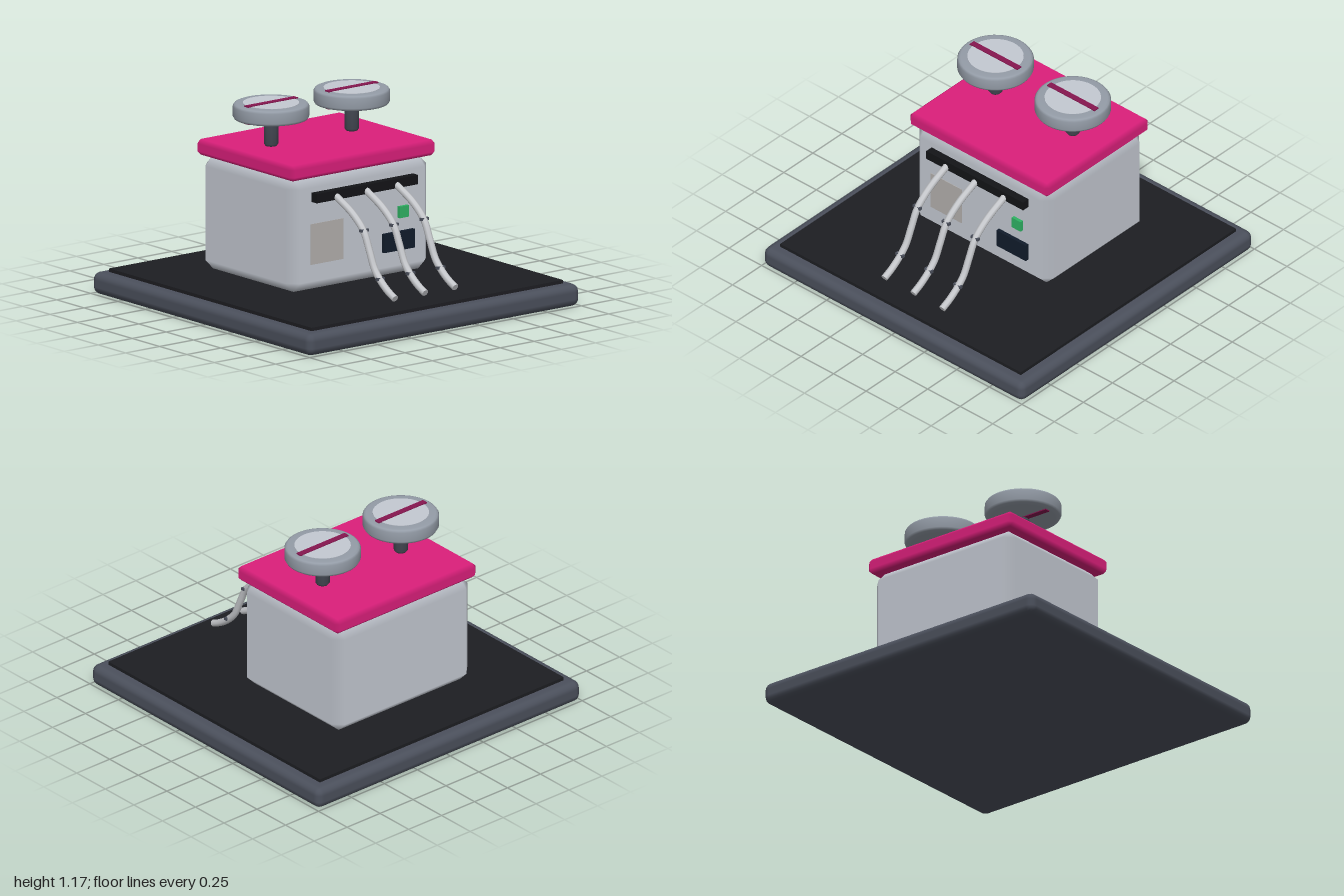
import * as THREE from 'three';
import { RoundedBoxGeometry } from 'three/addons/geometries/RoundedBoxGeometry.js';
import { ConvexGeometry } from 'three/addons/geometries/ConvexGeometry.js';

const mat = (color) => new THREE.MeshStandardMaterial({ color });

// Box with 45 degree chamfers; flat faces keep their own normal, chamfers blend between them
function chamferBox(w, h, d, b) {
  const half = [w / 2, h / 2, d / 2];
  const pts = [];
  for (let axis = 0; axis < 3; axis++)
    for (const sx of [-1, 1]) for (const sy of [-1, 1]) for (const sz of [-1, 1]) {
      const s = [sx, sy, sz];
      pts.push(new THREE.Vector3(...half.map((v, i) => s[i] * (i === axis ? v : v - b))));
    }
  const geo = new ConvexGeometry(pts);
  const p = geo.attributes.position, n = geo.attributes.normal;
  for (let i = 0; i < p.count; i++) {
    const c = [p.getX(i), p.getY(i), p.getZ(i)];
    n.setXYZ(i, ...c.map((v, k) => (Math.abs(Math.abs(v) - half[k]) < 1e-5 ? Math.sign(v) : 0)));
  }
  return geo;
}

export function createModel() {
  const model = new THREE.Group();
  model.name = 'countertopMachine';

  const charcoal = mat(0x4b505c), black = mat(0x1d1e22), shell = mat(0xc4c9d2);
  const pink = mat(0xdb1f7b), rim = mat(0x949ca7), plum = mat(0x861650);
  const stemMat = mat(0x41454f), steel = mat(0xc6c8cc), strip = mat(0x131417);

  const add = (parent, name, geo, material, x, y, z) => {
    const mesh = new THREE.Mesh(geo, material);
    mesh.name = name;
    mesh.position.set(x, y, z);
    parent.add(mesh);
    return mesh;
  };
  const box = (w, h, d) => new THREE.BoxGeometry(w, h, d);

  // Base slab and the dark mat on it
  add(model, 'base', new RoundedBoxGeometry(2, 0.13, 2, 2, 0.045), charcoal, 0, 0.065, 0);
  add(model, 'mat', box(1.85, 0.04, 1.85), black, 0, 0.13, 0);

  // Housing and lid
  add(model, 'housing', chamferBox(1.034, 0.67, 0.85, 0.058), shell, 0, 0.485, -0.185);
  add(model, 'lid', chamferBox(1.07, 0.092, 0.888, 0.024), pink, 0, 0.866, -0.182);

  // Front panel details
  add(model, 'slotStrip', box(0.745, 0.055, 0.07), strip, 0, 0.706, 0.252);
  add(model, 'label', box(0.24, 0.24, 0.01), mat(0xb3b0ad), -0.26, 0.428, 0.238);
  add(model, 'button', box(0.068, 0.068, 0.04), mat(0x2fb364), 0.295, 0.523, 0.24);
  add(model, 'screen', box(0.225, 0.11, 0.044), mat(0x111c2b), 0.258, 0.356, 0.24);

  // Three curved spouts, each with two clips
  const path = new THREE.CatmullRomCurve3([
    [0.7, 0.27], [0.62, 0.43], [0.535, 0.53], [0.43, 0.582],
    [0.33, 0.63], [0.268, 0.69], [0.222, 0.755], [0.193, 0.815],
  ].map(([y, z]) => new THREE.Vector3(0, y, z)));
  const tubeGeo = new THREE.TubeGeometry(path, 28, 0.021, 8);
  for (const x of [-0.222, 0, 0.222]) {
    const spout = new THREE.Group();
    spout.name = 'spout';
    spout.position.x = x;
    model.add(spout);
    add(spout, 'spoutTube', tubeGeo, steel, 0, 0, 0);
    const end = add(spout, 'spoutEnd', new THREE.CircleGeometry(0.021, 8), steel, 0, 0.193, 0.815);
    end.quaternion.setFromUnitVectors(new THREE.Vector3(0, 0, 1), path.getTangent(1));
    for (const [y, z] of [[0.543, 0.531], [0.285, 0.68]])
      add(spout, 'spoutClip', box(0.056, 0.016, 0.02), charcoal, 0, y, z);
  }

  // Two round dials on stems, each crossed by a bar
  const v2 = (pts) => pts.map(([r, y]) => new THREE.Vector2(r, y));
  const stemGeo = new THREE.LatheGeometry(
    v2([[0, 0], [0.03, 0], [0.043, 0.018], [0.043, 0.135], [0.03, 0.155], [0, 0.165]]), 10);
  const dialGeo = new THREE.LatheGeometry(v2([
    [0, 1.07], [0.19, 1.07], [0.19, 1.07], [0.212, 1.076], [0.22, 1.09],
    [0.22, 1.148], [0.212, 1.16], [0.2, 1.165], [0.16, 1.165], [0, 1.165],
  ]), 40);
  for (const x of [-0.297, 0.297]) {
    const dial = new THREE.Group();
    dial.name = 'dial';
    dial.position.set(x, 0, -0.225);
    model.add(dial);
    add(dial, 'dialStem', stemGeo, stemMat, 0, 0.908, 0);
    add(dial, 'dialRim', dialGeo, rim, 0, 0, 0);
    add(dial, 'dialFace', new THREE.CylinderGeometry(0.162, 0.162, 0.02, 40), shell, 0, 1.157, 0);
    add(dial, 'dialBar', box(0.365, 0.108, 0.036), plum, 0, 1.118, 0);
  }
  return model;
}
